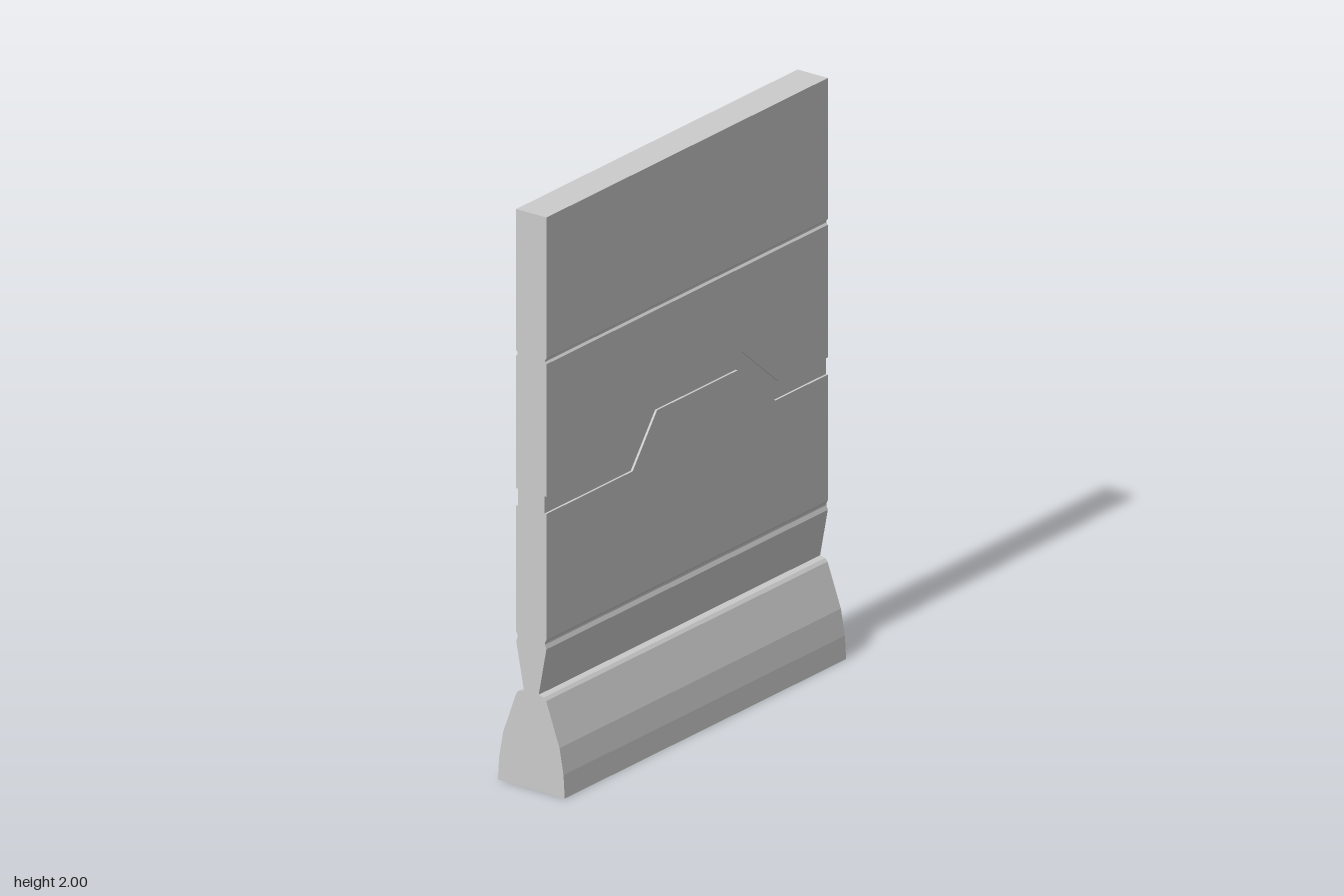
import * as THREE from 'three';

// Height of a jogged line at x, from [x, y] corner points
function heightAt(points, x) {
  for (let i = 1; i < points.length; i++) {
    const [x0, y0] = points[i - 1], [x1, y1] = points[i];
    if (x <= x1) return y0 + (y1 - y0) * (x - x0) / (x1 - x0);
  }
  return points[points.length - 1][1];
}

// Lower and upper edges of the jogged groove
const lowerEdge = [[-0.75, 0.97], [-0.29, 0.97], [-0.16, 1.14], [0.27, 1.14], [0.47, 0.97], [0.75, 0.97]];
const upperEdge = [[-0.75, 1.03], [-0.32, 1.03], [-0.19, 1.2], [0.29, 1.2], [0.49, 1.03], [0.75, 1.03]];

// Closed cross-section [z, y] at x: up the front, down the back
function section(x) {
  const lo = heightAt(lowerEdge, x), hi = heightAt(upperEdge, x);
  const face = 0.061, floor = 0.053;
  const half = [
    // flared foot
    [0.135, 0], [0.13, 0.08], [0.114, 0.17], [0.06, 0.32], [0.05, 0.33],
    // neck and splay up to the panel
    [0.03, 0.335], [face, 0.5],
    // lower notch
    [0.055, 0.515], [0.055, 0.522], [face, 0.532],
    // jogged groove
    [face, lo], [floor, lo], [floor, hi], [face, hi],
    // upper notch and top
    [face, 1.49], [0.055, 1.497], [0.055, 1.503], [face, 1.51], [face, 2],
  ];
  return [...half, ...half.map(([z, y]) => [-z, y]).reverse()];
}

// Sweeps the cross-section through the x stations and caps both ends
function sweep(stations) {
  const pos = [];
  const rings = stations.map((x) => section(x).map(([z, y]) => [x, y, z]));
  const tri = (a, b, c) => pos.push(...a, ...b, ...c);
  for (let s = 1; s < rings.length; s++) {
    const p = rings[s - 1], q = rings[s];
    for (let i = 0; i < p.length; i++) {
      const j = (i + 1) % p.length;
      tri(p[i], q[i], q[j]);
      tri(p[i], q[j], p[j]);
    }
  }
  for (const [ring, side] of [[rings[0], -1], [rings[rings.length - 1], 1]]) {
    const contour = ring.map(([, y, z]) => new THREE.Vector2(-z, y));
    for (const [a, b, c] of THREE.ShapeUtils.triangulateShape(contour, [])) {
      const turn = contour[b].clone().sub(contour[a]).cross(contour[c].clone().sub(contour[a]));
      if (turn * side > 0) tri(ring[a], ring[b], ring[c]);
      else tri(ring[a], ring[c], ring[b]);
    }
  }
  const geometry = new THREE.BufferGeometry();
  geometry.setAttribute('position', new THREE.Float32BufferAttribute(pos, 3));
  geometry.computeVertexNormals();
  return geometry;
}

export function createModel() {
  const group = new THREE.Group();
  group.name = 'barrierWall';
  // One station at every bend of the groove
  const stations = [...new Set([...lowerEdge, ...upperEdge].map(([x]) => x))].sort((a, b) => a - b);
  const material = new THREE.MeshStandardMaterial({ color: 0xcccccc, flatShading: true });
  const wall = new THREE.Mesh(sweep(stations), material);
  wall.name = 'groovedPanelOnFoot';
  group.add(wall);
  return group;
}
